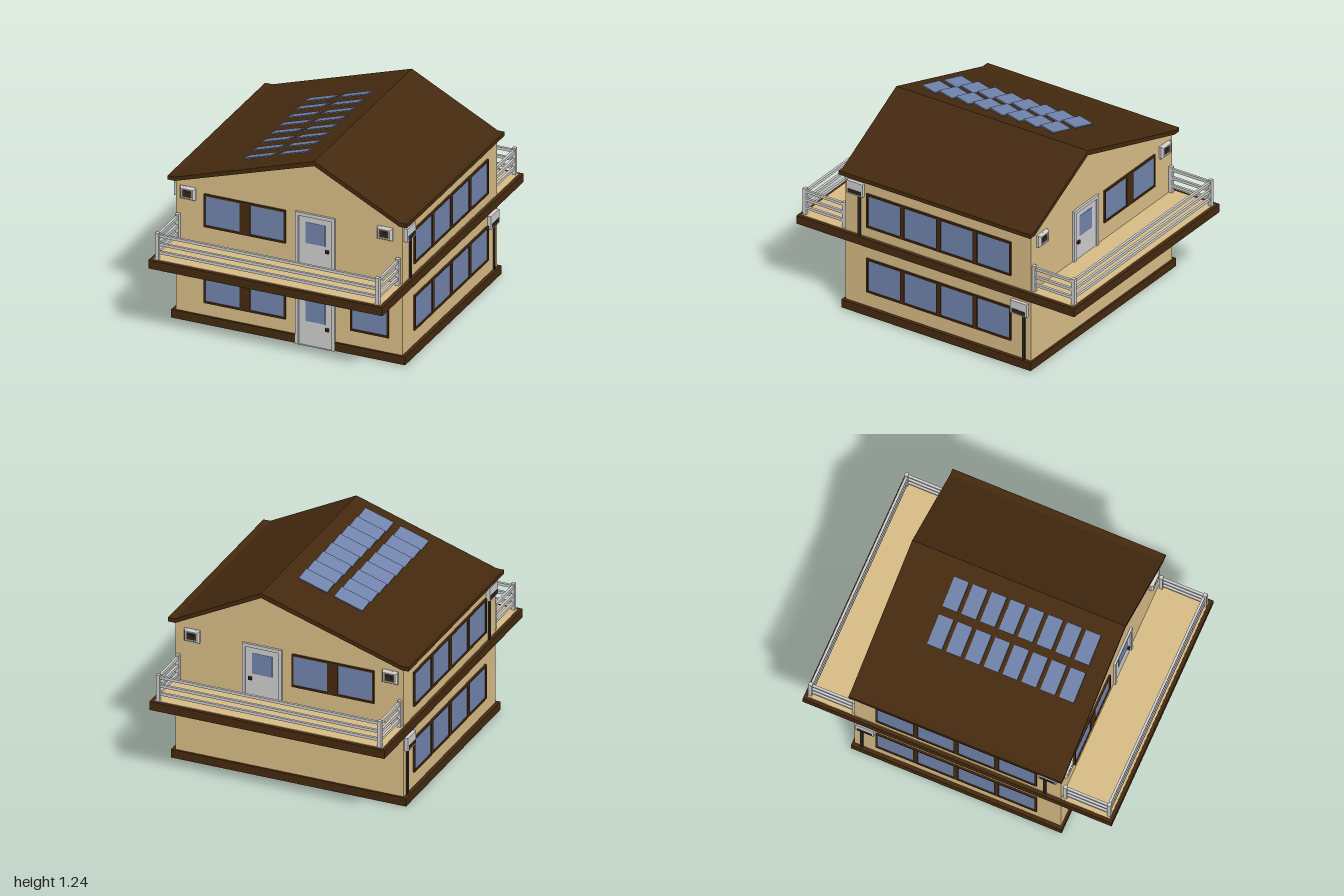
import * as THREE from 'three';

const mat = (color) => new THREE.MeshStandardMaterial({ color, flatShading: true });
const TAN = mat(0xd6ba84), BROWN = mat(0x44290f), GLASS = mat(0x7083ab), GREY = mat(0xcccccc), DARK = mat(0x2a2420);

function add(parent, name, geo, material, x = 0, y = 0, z = 0) {
  const m = new THREE.Mesh(geo, material);
  m.name = name;
  m.position.set(x, y, z);
  parent.add(m);
  return m;
}

// box given by its min and max on each axis
function box(parent, name, material, x0, x1, y0, y1, z0, z1) {
  return add(parent, name, new THREE.BoxGeometry(x1 - x0, y1 - y0, z1 - z0), material,
    (x0 + x1) / 2, (y0 + y1) / 2, (z0 + z1) / 2);
}

const poly = (pts, Type = THREE.Shape) => new Type(pts.map(([x, y]) => new THREE.Vector2(x, y)));
const rect = (x0, x1, y0, y1, Type) => poly([[x0, y0], [x1, y0], [x1, y1], [x0, y1]], Type);

// flat shape with rectangular holes, extruded from z0 to z1
function plate(parent, name, material, shape, holes, z0, z1) {
  holes.forEach((h) => shape.holes.push(rect(...h, THREE.Path)));
  const geo = new THREE.ExtrudeGeometry(shape, { depth: z1 - z0, bevelEnabled: false });
  return add(parent, name, geo, material, 0, 0, z0);
}

function group(parent, name) {
  const g = new THREE.Group();
  g.name = name;
  parent.add(g);
  return g;
}

// Wall face: local z = 0 is the wall surface, z points outwards
function face(parent, name, angle, dist) {
  const g = group(parent, name);
  g.rotation.y = angle;
  g.position.set(Math.sin(angle) * dist, 0, Math.cos(angle) * dist);
  return g;
}

// horizontal range, mirrored when s = -1
const span = (s, a, b) => (s > 0 ? [a, b] : [-b, -a]);

// Window: brown frame with one hole per pane
function addWindow(parent, s, x0, x1, y0, y1, panes, glassBack) {
  const g = group(parent, 'window');
  const holes = panes.map(([a, b]) => [...span(s, a, b), y0 + 0.012, y1 - 0.012]);
  plate(g, 'windowFrame', BROWN, rect(...span(s, x0, x1), y0, y1), holes, -0.04, 0.012);
  holes.forEach((h) => box(g, 'windowPane', GLASS, ...h, glassBack, 0.005));
}

// Door: grey frame, leaf, small window and handle
function addDoor(parent, s, y) {
  const g = group(parent, 'door');
  const top = y + 0.36;
  plate(g, 'doorFrame', GREY, rect(...span(s, 0.045, 0.305), y, top),
    [[...span(s, 0.066, 0.284), y + 0.002, top - 0.022]], -0.06, 0.014);
  box(g, 'doorLeaf', GREY, ...span(s, 0.066, 0.284), y + 0.002, top - 0.022, -0.002, 0.005);
  box(g, 'doorPane', GLASS, ...span(s, 0.11, 0.24), y + 0.162, y + 0.3, 0, 0.007);
  box(g, 'doorHandle', DARK, ...span(s, 0.243, 0.263), y + 0.12, y + 0.14, 0, 0.016);
}

// Square wall lamp with stepped, chamfered rim
function addLamp(parent, x) {
  const g = group(parent, 'wallLamp');
  const y = 0.85;
  const rim = new THREE.CylinderGeometry(0.04 * Math.SQRT2, 0.051 * Math.SQRT2, 0.014, 4, 1, true);
  rim.rotateY(Math.PI / 4).rotateX(Math.PI / 2).scale(1, 0.8, 1);
  add(g, 'lampRim', rim, GREY, x, y, 0.019);
  box(g, 'lampBody', GREY, x - 0.051, x + 0.051, y - 0.041, y + 0.041, 0, 0.012);
  plate(g, 'lampFace', GREY, rect(x - 0.04, x + 0.04, y - 0.032, y + 0.032),
    [[x - 0.03, x + 0.03, y - 0.024, y + 0.024]], 0.012, 0.026);
  box(g, 'lampRecess', BROWN, x - 0.03, x + 0.03, y - 0.024, y + 0.024, 0.01, 0.018);
  box(g, 'lampBulb', DARK, x - 0.016, x + 0.016, y - 0.012, y + 0.012, 0.01, 0.022);
}

// Meter box with a dark slot and a conduit running down
function addMeter(parent, s, z0, z1, pipe, y0, y1, floor) {
  const g = group(parent, 'meterBox');
  box(g, 'meterCase', GREY, ...span(s, z0, z1), y0, y1, 0, 0.024);
  box(g, 'meterSlot', DARK, ...span(s, z0 + 0.01, z1 - 0.01), y0 + 0.008, y0 + 0.034, 0.01, 0.026);
  box(g, 'meterPipe', DARK, ...span(s, pipe - 0.01, pipe + 0.01), floor, y0, 0, 0.01);
}

// Balcony railing; s = 1 front, -1 back
function addRailing(parent, s) {
  const g = group(parent, s > 0 ? 'frontRailing' : 'backRailing');
  for (const x of [-0.722, 0.722]) {
    for (const z of [0.967, 0.683]) {
      box(g, 'railPost', GREY, x - 0.012, x + 0.012, 0.53, 0.708, ...span(s, z - 0.012, z + 0.012));
    }
  }
  for (const y of [0.578, 0.632, 0.688]) {
    box(g, 'frontRail', GREY, -0.722, 0.722, y - 0.009, y + 0.009, ...span(s, 0.955, 0.971));
    for (const x of [-0.722, 0.722]) {
      box(g, 'sideRail', GREY, x - 0.008, x + 0.008, y - 0.009, y + 0.009, ...span(s, 0.683, 0.967));
    }
  }
}

export function createModel() {
  const model = new THREE.Group();
  model.name = 'house';

  // Middle slab with balconies
  box(model, 'balconySlab', BROWN, -0.767, 0.767, 0.475, 0.53, -1, 1);
  box(model, 'balconyFloor', TAN, -0.745, 0.745, 0.5, 0.533, -0.978, 0.978);
  addRailing(model, 1);
  addRailing(model, -1);

  const body = group(model, 'body');
  body.position.z = -0.005;

  // Ground floor: open-bottomed wall ring and plinth with a gap for the door
  const W = 0.743, D = 0.668;
  plate(body, 'groundFloorWalls', TAN, rect(-W, W, -D, D), [[-W + 0.01, W - 0.01, -D + 0.01, D - 0.01]], 0, 0.465)
    .rotation.x = -Math.PI / 2;
  body.children[0].position.y = 0.01;
  const plinth = group(body, 'plinth');
  box(plinth, 'plinthBack', BROWN, -0.767, 0.767, 0.006, 0.06, -0.682, -0.655);
  box(plinth, 'plinthFrontRight', BROWN, -0.767, 0.045, 0.006, 0.06, 0.655, 0.682);
  box(plinth, 'plinthFrontLeft', BROWN, 0.305, 0.767, 0.006, 0.06, 0.655, 0.682);
  for (const s of [1, -1]) {
    box(plinth, 'plinthSide', BROWN, ...span(s, 0.73, 0.767), 0.006, 0.06, -0.655, 0.655);
  }

  // Upper floor with gables, and the roof over it
  plate(body, 'upperFloor', TAN,
    poly([[-W, 0.53], [W, 0.53], [W, 0.925], [0.175, 1.215], [-W, 0.925]]), [], -D, D);
  plate(body, 'roof', BROWN, poly([
    [-0.787, 0.92], [-0.74, 0.92], [0.175, 1.207], [0.735, 0.92], [0.783, 0.92],
    [0.783, 0.946], [0.738, 0.946], [0.175, 1.238], [-0.738, 0.946], [-0.787, 0.946],
  ]), [], -0.69, 0.69);

  // Front and back faces
  const pair = [[-0.545, -0.32], [-0.25, -0.03]];
  for (const s of [1, -1]) {
    const f = face(body, s > 0 ? 'frontFace' : 'backFace', s > 0 ? 0 : Math.PI, D);
    addWindow(f, s, -0.555, -0.02, 0.648, 0.866, pair, -0.002);
    addDoor(f, s, 0.517);
    addLamp(f, -0.66 * s);
    addLamp(f, 0.632 * s);
    if (s > 0) {
      addWindow(f, s, -0.555, -0.02, 0.145, 0.361, pair, -0.002);
      addWindow(f, s, 0.405, 0.655, 0.16, 0.38, [[0.416, 0.643]], -0.002);
      addDoor(f, s, 0);
    }
  }

  // Side faces: a row of four panes per storey and two meter boxes
  const row = [0, 1, 2, 3].map((i) => [-0.517 + i * 0.2617, -0.285 + i * 0.2617]);
  for (const s of [1, -1]) {
    const f = face(body, s > 0 ? 'leftFace' : 'rightFace', s * Math.PI / 2, W);
    addWindow(f, -s, -0.527, 0.513, 0.158, 0.388, row, -0.035);
    addWindow(f, -s, -0.527, 0.513, 0.6, 0.83, row, -0.035);
    addMeter(f, -s, 0.53, 0.645, 0.565, 0.803, 0.89, 0.53);
    addMeter(f, -s, -0.652, -0.535, -0.62, 0.36, 0.447, 0.06);
  }

  // Solar panels, each tilted with its front edge raised
  const solar = group(model, 'solarPanels');
  const slope = Math.atan(0.32);
  for (const x of [-0.252, -0.022]) {
    for (let i = 0; i < 8; i++) {
      const p = add(solar, 'solarPanel', new THREE.BoxGeometry(0.194, 0.007, 0.1), GLASS,
        x, 0.946 + (x + 0.738) * 0.32 + 0.016, -0.328 + i * 0.122);
      p.rotation.set(-0.2, 0, slope, 'ZXY');
    }
  }
  return model;
}
